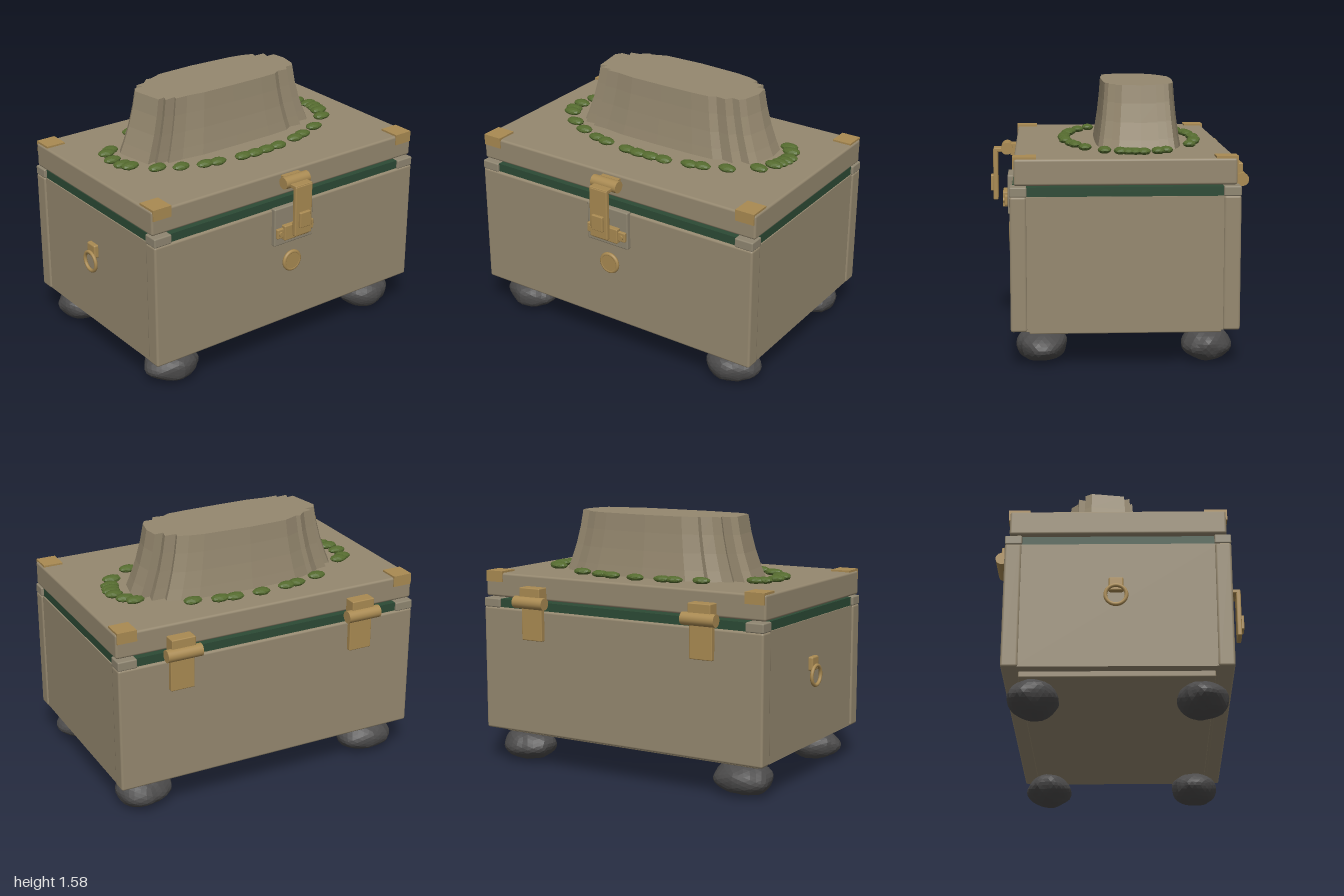
import * as THREE from 'three';
import { RoundedBoxGeometry } from 'three/addons/geometries/RoundedBoxGeometry.js';

const mat = (name, color) => {
  const m = new THREE.MeshStandardMaterial({ color });
  m.name = name;
  return m;
};

export function createModel() {
  const tan = mat('tan', 0x95886f);
  const stone = mat('greyTan', 0x8f8671);
  const brass = mat('brass', 0xa98a52);
  const green = mat('darkGreen', 0x2c4a35);
  const moss = mat('moss', 0x556b2f);
  const rock = mat('darkRock', 0x4c4b4b);
  const model = new THREE.Group();
  model.name = 'chest';

  const add = (name, geometry, material, parent = model) => {
    const mesh = new THREE.Mesh(geometry, material);
    mesh.name = name;
    parent.add(mesh);
    return mesh;
  };
  const group = (name) => {
    const g = new THREE.Group();
    g.name = name;
    model.add(g);
    return g;
  };
  // Box given by its limits on each axis, optionally with rounded edges
  const box = (name, [x0, x1], [y0, y1], [z0, z1], material, radius = 0, parent = model) => {
    const s = [x1 - x0, y1 - y0, z1 - z0];
    const g = radius ? new RoundedBoxGeometry(...s, 2, radius) : new THREE.BoxGeometry(...s);
    g.translate((x0 + x1) / 2, (y0 + y1) / 2, (z0 + z1) / 2);
    return add(name, g, material, parent);
  };
  // Cylinder lying along x
  const barrel = (name, [x0, x1], y, z, r, parent) => {
    const g = new THREE.CylinderGeometry(r, r, x1 - x0, 24);
    g.rotateZ(Math.PI / 2).translate((x0 + x1) / 2, y, z);
    return add(name, g, brass, parent);
  };

  // Body: core with thick front and back panels
  box('basePlate', [-0.89, 0.91], [0.187, 0.24], [-0.58, 0.525], tan, 0.008);
  box('bodyCore', [-0.957, 0.987], [0.222, 0.993], [-0.6, 0.56], tan);
  box('frontPanel', [-0.967, 0.996], [0.22, 0.995], [0.535, 0.63], tan, 0.014);
  box('backPanel', [-0.967, 0.996], [0.22, 0.995], [-0.675, -0.577], tan, 0.014);

  // Gasket and rim corner blocks
  box('gasket', [-0.95, 0.98], [0.99, 1.046], [-0.66, 0.615], green);
  for (const x of [[-0.967, -0.85], [0.877, 0.996]])
    for (const z of [[0.533, 0.63], [-0.675, -0.575]])
      box('rimCorner', x, [0.992, 1.049], z, stone, 0.008);

  // Lid with brass corner caps
  box('lid', [-0.967, 0.996], [1.057, 1.207], [-0.65, 0.605], tan, 0.014);
  for (const x of [[-0.96, -0.837], [0.867, 0.988]])
    for (const front of [true, false]) {
      const cap = group('cornerCap');
      box('capTop', x, [1.2, 1.218], front ? [0.478, 0.612] : [-0.657, -0.532], brass, 0, cap);
      box('capFlange', x, [1.15, 1.218], front ? [0.6, 0.612] : [-0.657, -0.645], brass, 0, cap);
    }

  // Raised mound: a fluted outline shrinking through rings to a flat top
  const outline = [
    [-.65, -.2], [-.61, .04], [-.555, .03], [-.575, .08], [-.49, .07], [-.5, .1], [-.4, .1],
    [-.26, .118], [0, .12], [.26, .118], [.4, .11], [.45, .08], [.53, .09], [.56, .04],
    [.62, .045], [.65, 0], [.68, -.13], [.665, -.24], [.6, -.235], [.615, -.3], [.53, -.3],
    [.54, -.34], [.46, -.37], [.35, -.39], [0, -.41], [-.3, -.4], [-.41, -.355], [-.44, -.365],
    [-.5, -.31], [-.57, -.3], [-.55, -.25], [-.62, -.25],
  ];
  const cx = 0.013, cz = -0.145, topY = 1.585;
  const rings = [[1.2, 1], [1.27, 0.955], [1.37, 0.9], [1.48, 0.855], [topY, 0.825]].map(([y, s]) =>
    outline.map(([x, z]) => [cx + (x - cx) * s, y, cz + (z - cz) * s]));
  const verts = [];
  const n = outline.length;
  for (let i = 0; i < n; i++) {
    const j = (i + 1) % n;
    for (let k = 0; k < rings.length - 1; k++) {
      const a = rings[k], b = rings[k + 1];
      verts.push(...a[i], ...a[j], ...b[j], ...a[i], ...b[j], ...b[i]);
    }
    const top = rings[rings.length - 1];
    verts.push(cx, topY, cz, ...top[i], ...top[j]);
  }
  const moundGeo = new THREE.BufferGeometry();
  moundGeo.setAttribute('position', new THREE.Float32BufferAttribute(verts, 3));
  moundGeo.computeVertexNormals();
  add('mound', moundGeo, tan);

  // Lumpy pebble of exact half-sizes, flat shaded
  const pebble = (detail, bump, seed, rx, ry, rz) => {
    const g = new THREE.IcosahedronGeometry(1, detail);
    const p = g.attributes.position, v = new THREE.Vector3();
    for (let i = 0; i < p.count; i++) {
      v.fromBufferAttribute(p, i);
      const f = Math.sin(v.x * 4 + seed) + Math.sin(v.y * 5 + seed * 2) * Math.cos(v.z * 4 - seed)
        + 0.5 * Math.sin(v.x * 9 - v.z * 8 + seed * 3);
      v.multiplyScalar(1 + bump * f);
      p.setXYZ(i, v.x, v.y, v.z);
    }
    g.center();
    g.boundingBox.getSize(v);
    g.scale(2 * rx / v.x, 2 * ry / v.y, 2 * rz / v.z);
    g.computeVertexNormals();
    return g;
  };

  // Ring of moss clumps around the mound
  const clumps = [
    [-.425, -.427], [-.265, -.47], [-.185, -.48], [-.008, -.495], [.168, -.49], [.253, -.475],
    [.413, -.437], [-.69, -.252], [-.73, -.222], [-.755, -.118], [-.745, -.025], [-.723, .022],
    [-.61, .14], [-.488, .21], [-.35, .262], [-.265, .28], [-.093, .303], [-.008, .308],
    [.077, .305], [.173, .3], [.333, .268], [.413, .247], [.552, .193], [.707, .085],
    [.707, -.272], [.75, -.222], [.782, -.138], [.782, -.09], [.77, -.048], [.757, -.005],
  ];
  const mossRing = group('mossRing');
  clumps.forEach(([x, z], i) => {
    add('mossClump', pebble(1, 0.03, i, 0.058, 0.022, 0.04), moss, mossRing).position.set(x, 1.224, z);
  });

  // Rock feet
  [[-0.755, 0.455], [0.787, 0.455], [-0.755, -0.503], [0.787, -0.503]].forEach(([x, z], i) => {
    add('rockFoot', pebble(4, 0.035, 1 + i * 1.7, 0.176, 0.1, 0.147), rock).position.set(x, 0.102, z);
  });

  // Back hinges
  for (const x of [-0.58, 0.61]) {
    const hinge = group('hinge');
    barrel('hingeBarrel', [x - 0.11, x + 0.11], 1.048, -0.718, 0.038, hinge);
    box('upperLeaf', [x - 0.075, x + 0.075], [1.05, 1.14], [-0.725, -0.645], brass, 0.006, hinge);
    box('lowerLeaf', [x - 0.075, x + 0.075], [0.812, 1.05], [-0.705, -0.67], brass, 0.006, hinge);
  }

  // Front latch
  const latch = group('latch');
  box('latchPlate', [-0.133, 0.159], [0.762, 1.005], [0.62, 0.659], stone, 0.008, latch);
  box('keeper', [-0.08, 0.105], [0.8, 0.895], [0.655, 0.69], brass, 0.006, latch);
  box('keeperLugs', [-0.125, 0.152], [0.816, 0.878], [0.655, 0.678], brass, 0.006, latch);
  for (const x of [-0.1, 0.127]) {
    const screw = new THREE.CylinderGeometry(0.015, 0.015, 0.012, 16);
    screw.rotateX(Math.PI / 2).translate(x, 0.847, 0.682);
    add('keeperScrew', screw, brass, latch);
  }
  barrel('latchBarrel', [-0.077, 0.103], 1.163, 0.661, 0.037, latch);
  box('barrelMount', [-0.05, 0.077], [1.12, 1.19], [0.6, 0.64], brass, 0, latch);
  box('haspArm', [-0.05, 0.077], [1.14, 1.165], [0.66, 0.745], brass, 0.005, latch);
  box('hasp', [-0.05, 0.077], [0.84, 1.16], [0.718, 0.748], brass, 0.008, latch);
  box('haspGrip', [-0.025, 0.055], [0.895, 0.993], [0.74, 0.765], brass, 0.006, latch);

  // Round lock button
  const button = group('lockButton');
  const disc = (name, r, z0, z1) => {
    const g = new THREE.CylinderGeometry(r, r, z1 - z0, 32);
    g.rotateX(Math.PI / 2).translate(0.014, 0.627, (z0 + z1) / 2);
    add(name, g, brass, button);
  };
  disc('buttonFace', 0.055, 0.62, 0.655);
  const rim = new THREE.TorusGeometry(0.057, 0.012, 10, 32);
  add('buttonRim', rim.translate(0.014, 0.627, 0.645), brass, button);

  // Ring pull on the right side
  const pull = group('ringPull');
  const ring = new THREE.TorusGeometry(0.06, 0.011, 10, 32);
  add('pullRing', ring.rotateY(Math.PI / 2).translate(-0.989, 0.65, -0.033), brass, pull);
  box('pullBracket', [-0.985, -0.95], [0.68, 0.765], [-0.075, 0.01], brass, 0.01, pull);

  return model;
}
